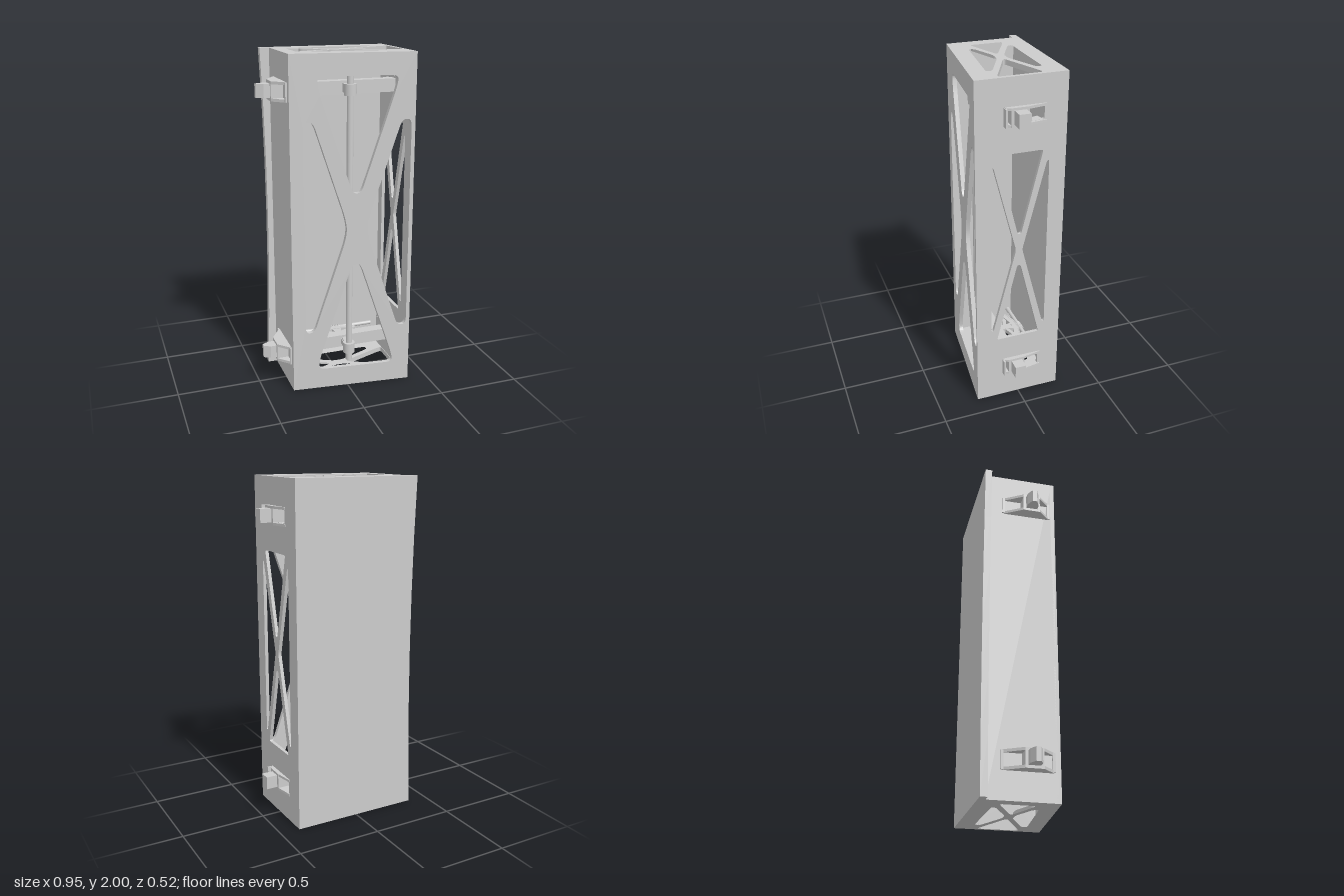
import * as THREE from 'three';

const material = new THREE.MeshStandardMaterial({ color: 0xcccccc, flatShading: true });
const smooth = new THREE.MeshStandardMaterial({ color: 0xcccccc });

// closed outline with rounded corners
function outline(points, r = 0, Type = THREE.Shape) {
  const path = new Type();
  const v = points.map(([x, y]) => new THREE.Vector2(x, y));
  v.forEach((p, i) => {
    const prev = v[(i + v.length - 1) % v.length], next = v[(i + 1) % v.length];
    const toward = (q) => p.clone().lerp(q, Math.min(0.45, r / p.distanceTo(q)));
    const a = toward(prev), b = toward(next);
    if (i) path.lineTo(a.x, a.y); else path.moveTo(a.x, a.y);
    if (r) path.quadraticCurveTo(p.x, p.y, b.x, b.y);
  });
  path.closePath();
  return path;
}

function extrude(shape, depth, holes = [], r = 0) {
  holes.forEach((h) => shape.holes.push(outline(h, r, THREE.Path)));
  return new THREE.ExtrudeGeometry(shape, { depth, bevelEnabled: false, curveSegments: 6 });
}

// plan outline given as [x, z], raised from y to y + height
function slab(points, y, height, holes = [], r = 0) {
  const flip = (ps) => ps.map(([x, z]) => [x, -z]);
  return extrude(outline(flip(points)), height, holes.map(flip), r).rotateX(-Math.PI / 2).translate(0, y, 0);
}

function box(x0, x1, y0, y1, z0, z1) {
  return new THREE.BoxGeometry(x1 - x0, y1 - y0, z1 - z0)
    .translate((x0 + x1) / 2, (y0 + y1) / 2, (z0 + z1) / 2);
}

// slide every vertex in z in proportion to x
function shear(geometry, slope) {
  const p = geometry.attributes.position;
  for (let i = 0; i < p.count; i++) p.setZ(i, p.getZ(i) + slope * p.getX(i));
  geometry.computeVertexNormals();
  return geometry;
}

export function createModel() {
  const model = new THREE.Group();
  model.name = 'lockingDoorBox';
  const add = (name, geometry, parent = model, mat = material) => {
    const mesh = new THREE.Mesh(geometry, mat);
    mesh.name = name;
    parent.add(mesh);
    return mesh;
  };
  const flipY = (ps) => ps.map(([a, y]) => [a, 2 - y]);
  const flipX = (ps, c) => ps.map(([x, y]) => [2 * c - x, y]);

  // back plate with a bowed overhanging edge
  const back = new THREE.Shape();
  back.moveTo(-0.385, 0);
  back.lineTo(0.383, 0);
  back.lineTo(0.383, 2);
  back.lineTo(-0.385, 2);
  back.quadraticCurveTo(-0.34, 1, -0.385, 0);
  add('backPlate', shear(extrude(back, 0.04).translate(0, 0, -0.259), 0.008));

  // slanted front panel with cross-braced openings
  const frontTop = [[-0.18, 1.876], [0.285, 1.876], [0.265, 1.79], [0.075, 1.215], [0.025, 1.215], [-0.165, 1.79]];
  const frontSide = [[-0.255, 1.63], [-0.2, 1.63], [-0.02, 1.08], [-0.005, 1], [-0.02, 0.92], [-0.2, 0.37], [-0.255, 0.37]];
  const front = extrude(outline([[-0.33, 0], [0.383, 0], [0.383, 2], [-0.33, 2]]), 0.025,
    [frontTop, flipY(frontTop), frontSide, flipX(frontSide, 0.053)], 0.045);
  add('frontPanel', shear(front.translate(0, 0, 0.192), 0.112));

  // solid side wall and braced side wall
  add('plainSideWall', box(-0.33, -0.31, 0, 2, -0.225, 0.165));
  const sideTop = [[0.135, 1.585], [-0.125, 1.585], [-0.005, 1.1], [0.015, 1.1]];
  const sliver = [[0.17, 1.52], [0.158, 1.52], [0.026, 1.01], [0.026, 0.99], [0.158, 0.48], [0.17, 0.48]];
  const slot = [[0.1, 1.835], [-0.125, 1.835], [-0.125, 1.755], [0.1, 1.755]];
  const side = extrude(outline([[-0.225, 0], [0.245, 0], [0.245, 2], [-0.225, 2]]), 0.02,
    [sideTop, flipY(sideTop), sliver, flipX(sliver, 0.005), slot, flipY(slot)], 0.012);
  add('bracedSideWall', side.rotateY(-Math.PI / 2).translate(0.383, 0, 0));

  // end caps
  const capOutline = [[-0.32, -0.23], [0.375, -0.23], [0.375, 0.25], [-0.32, 0.173]];
  const capHoles = [
    [[-0.255, -0.13], [-0.225, -0.12], [-0.04, -0.025], [-0.04, -0.01], [-0.22, 0.055], [-0.255, 0.065]],
    [[-0.175, -0.158], [0.26, -0.158], [0.26, -0.125], [0.06, -0.045], [0, -0.045], [-0.17, -0.13]],
    [[0.36, -0.12], [0.33, -0.115], [0.08, -0.02], [0.08, -0.008], [0.34, 0.12], [0.36, 0.12]],
    [[-0.175, 0.1], [-0.165, 0.07], [-0.02, 0.014], [0.05, 0.014], [0.255, 0.115], [0.255, 0.15]],
  ];
  add('topCap', slab(capOutline, 1.97, 0.03, capHoles, 0.02));
  add('bottomCap', slab(capOutline, 0, 0.03, capHoles, 0.02));

  // sliding bolts with their guides, top and bottom
  for (const y of [0.213, 1.792]) {
    const bolt = new THREE.Group();
    bolt.name = 'boltAssembly';
    bolt.position.y = y;
    model.add(bolt);
    add('bolt', slab([[-0.475, 0.005], [-0.435, -0.014], [0.475, -0.014], [0.475, 0.052], [-0.435, 0.052], [-0.475, 0.032]],
      -0.038, 0.076), bolt);

    // tapered guide on the overhang side: two cheeks and a sleeve
    for (const s of [-1, 1]) {
      add('guideCheek', slab([[-0.325, -0.145], [-0.4, -0.03], [-0.4, 0.07], [-0.325, 0.15]], s * 0.047 - 0.008, 0.016), bolt);
      add('guideSleeveSide', box(-0.4, -0.325, -0.052, 0.052, 0.019 + s * 0.042 - 0.008, 0.019 + s * 0.042 + 0.008), bolt);
      add('guideRoot', box(-0.34, -0.325, -0.052, 0.052, s * 0.14 - 0.008, s * 0.14 + 0.008), bolt);

      // handle-side guide
      add('clipCheek', slab([[0.345, -0.02], [0.32, -0.11], [0.36, -0.12], [0.388, -0.14], [0.408, -0.025], [0.408, 0.065],
        [0.395, 0.095], [0.35, 0.1]], s * 0.045 - 0.007, 0.014), bolt);
      add('clipSide', box(0.345, 0.408, -0.052, 0.052, 0.019 + s * 0.042 - 0.008, 0.019 + s * 0.042 + 0.008), bolt);
    }
    add('clipLip', box(0.35, 0.417, -0.05, 0.05, 0.092, 0.102), bolt);

    // crank arm from the vertical rod to the bolt
    add('crankArm', slab([[0.022, 0.05], [0.05, 0.05], [0.056, 0.13], [0.016, 0.13]], -0.025, 0.05), bolt);
    const collar = new THREE.CylinderGeometry(0.036, 0.036, 0.065, 24);
    add('crankCollar', collar.translate(0.036, 0, 0.14), bolt, smooth);
  }

  // vertical rod
  add('verticalRod', new THREE.CylinderGeometry(0.019, 0.019, 1.75, 24).translate(0.036, 1.005, 0.14), model, smooth);

  // toothed sector turning with the rod
  const sector = [];
  const teeth = 19, spread = 0.5;
  for (let i = 0; i < teeth; i++) {
    [[0, 0.258], [0.3, 0.27], [0.6, 0.27], [0.9, 0.258]].forEach(([f, r]) => {
      const a = -spread + 2 * spread * (i + f) / teeth;
      sector.push([0.036 + r * Math.sin(a), 0.14 - r * Math.cos(a)]);
    });
  }
  for (let i = 0; i <= 12; i++) {
    const a = spread * (1 - i / 6);
    sector.push([0.036 + 0.232 * Math.sin(a), 0.14 - 0.232 * Math.cos(a)]);
  }
  add('gearSector', slab(sector, 0.195, 0.036));
  add('gearSpoke', slab([[0, -0.1], [0.072, -0.1], [0.056, -0.06], [0.056, 0.13], [0.016, 0.13], [0.016, -0.06]], 0.198, 0.03));
  for (const s of [-1, 1]) {
    add('gearBrace', slab([[0.036 + s * 0.125, -0.075], [0.036 + s * 0.1, -0.092], [0.036, -0.055], [0.036, -0.035]]
      .slice()[s > 0 ? 'slice' : 'reverse'](), 0.2, 0.026));
  }

  // worm shaft with its thread
  const lay = (r, length, x) => new THREE.CylinderGeometry(r, r, length, 20).rotateZ(Math.PI / 2).translate(x, 0.213, -0.144);
  add('wormShaft', lay(0.012, 0.46, 0.06), model, smooth);
  add('wormShaftEnd', lay(0.014, 0.04, -0.15), model, smooth);
  for (let i = 0; i < 6; i++) {
    const ring = new THREE.TorusGeometry(0.014, 0.005, 6, 20).rotateY(Math.PI / 2 - 0.15);
    add('wormThread', ring.translate(0.01 + i * 0.011, 0.213, -0.144), model, smooth);
  }
  return model;
}
